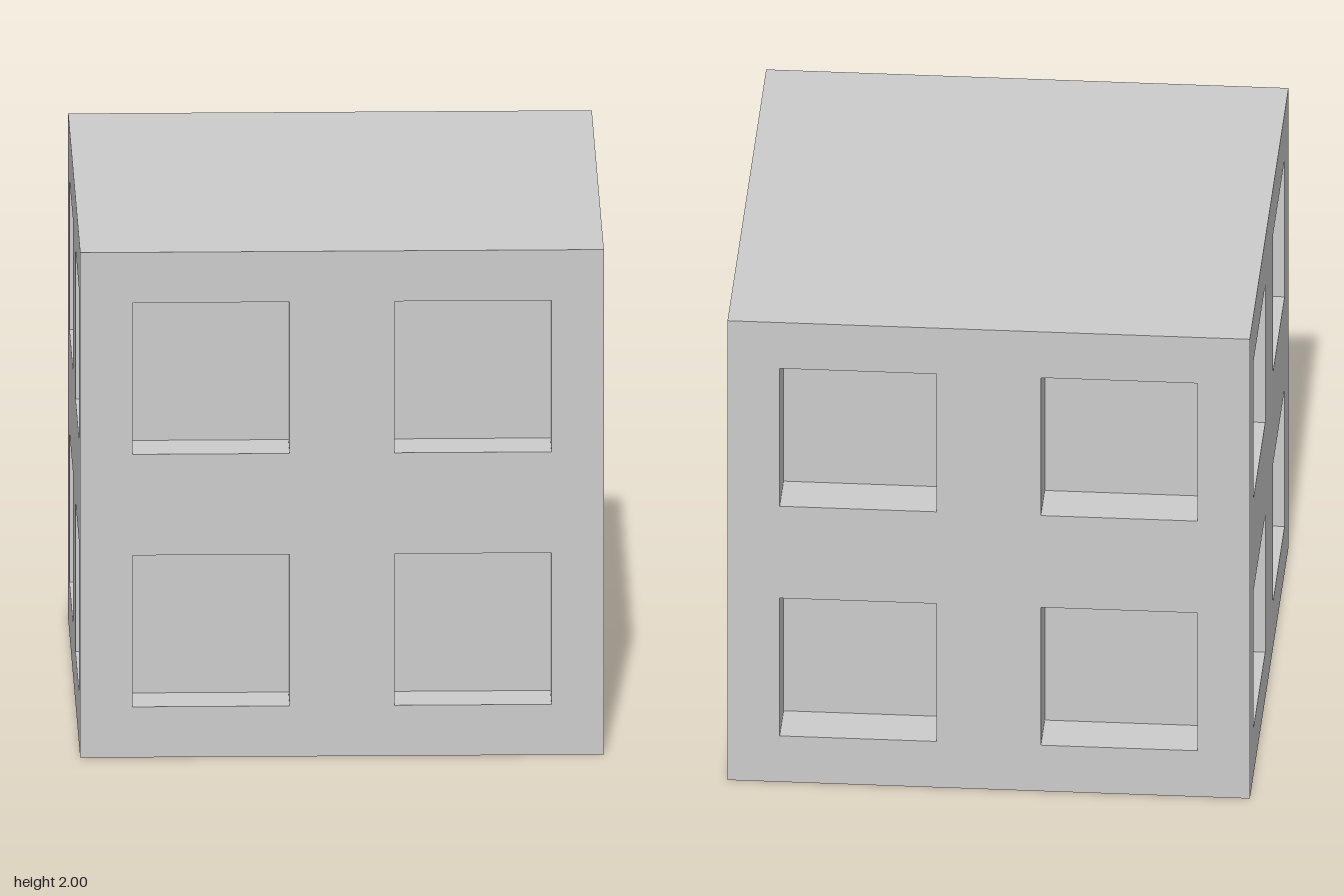
import * as THREE from 'three';
import { mergeGeometries } from 'three/addons/utils/BufferGeometryUtils.js';

const SIZE = 2, WINDOW = 0.6, DEPTH = 0.2;
const CENTRES = [[-0.5, 0.5], [0.5, 0.5], [-0.5, 1.5], [0.5, 1.5]];

// Flat outer wall with four square openings, facing +z
function wallGeometry() {
  const h = SIZE / 2, w = WINDOW / 2;
  const shape = new THREE.Shape([[-h, 0], [h, 0], [h, SIZE], [-h, SIZE]].map(p => new THREE.Vector2(...p)));
  for (const [x, y] of CENTRES) {
    const corners = [[-w, -w], [-w, w], [w, w], [w, -w]];
    shape.holes.push(new THREE.Path(corners.map(([a, b]) => new THREE.Vector2(x + a, y + b))));
  }
  return new THREE.ShapeGeometry(shape).translate(0, 0, h);
}

// Square recess: a back pane and four inward-facing reveals
function recessGeometry() {
  const parts = [new THREE.PlaneGeometry(WINDOW, WINDOW).translate(0, 0, -DEPTH)];
  for (let i = 0; i < 4; i++) {
    parts.push(new THREE.PlaneGeometry(WINDOW, DEPTH)
      .rotateX(-Math.PI / 2)
      .translate(0, -WINDOW / 2, -DEPTH / 2)
      .rotateZ(i * Math.PI / 2));
  }
  return mergeGeometries(parts);
}

export function createModel() {
  const model = new THREE.Group();
  model.name = 'windowedCube';
  const material = new THREE.MeshStandardMaterial({ color: 0xcccccc });
  const add = (parent, name, geometry) => {
    const mesh = new THREE.Mesh(geometry, material);
    mesh.name = name;
    parent.add(mesh);
    return mesh;
  };

  // Four identical sides
  const wall = wallGeometry(), recess = recessGeometry();
  ['front', 'left', 'back', 'right'].forEach((side, i) => {
    const group = new THREE.Group();
    group.name = side + 'Side';
    group.rotation.y = i * Math.PI / 2;
    add(group, 'wall', wall);
    for (const [x, y] of CENTRES) add(group, 'windowRecess', recess).position.set(x, y, SIZE / 2);
    model.add(group);
  });

  // Closed roof and base
  add(model, 'roof', new THREE.PlaneGeometry(SIZE, SIZE).rotateX(-Math.PI / 2).translate(0, SIZE, 0));
  add(model, 'base', new THREE.PlaneGeometry(SIZE, SIZE).rotateX(Math.PI / 2));
  return model;
}
